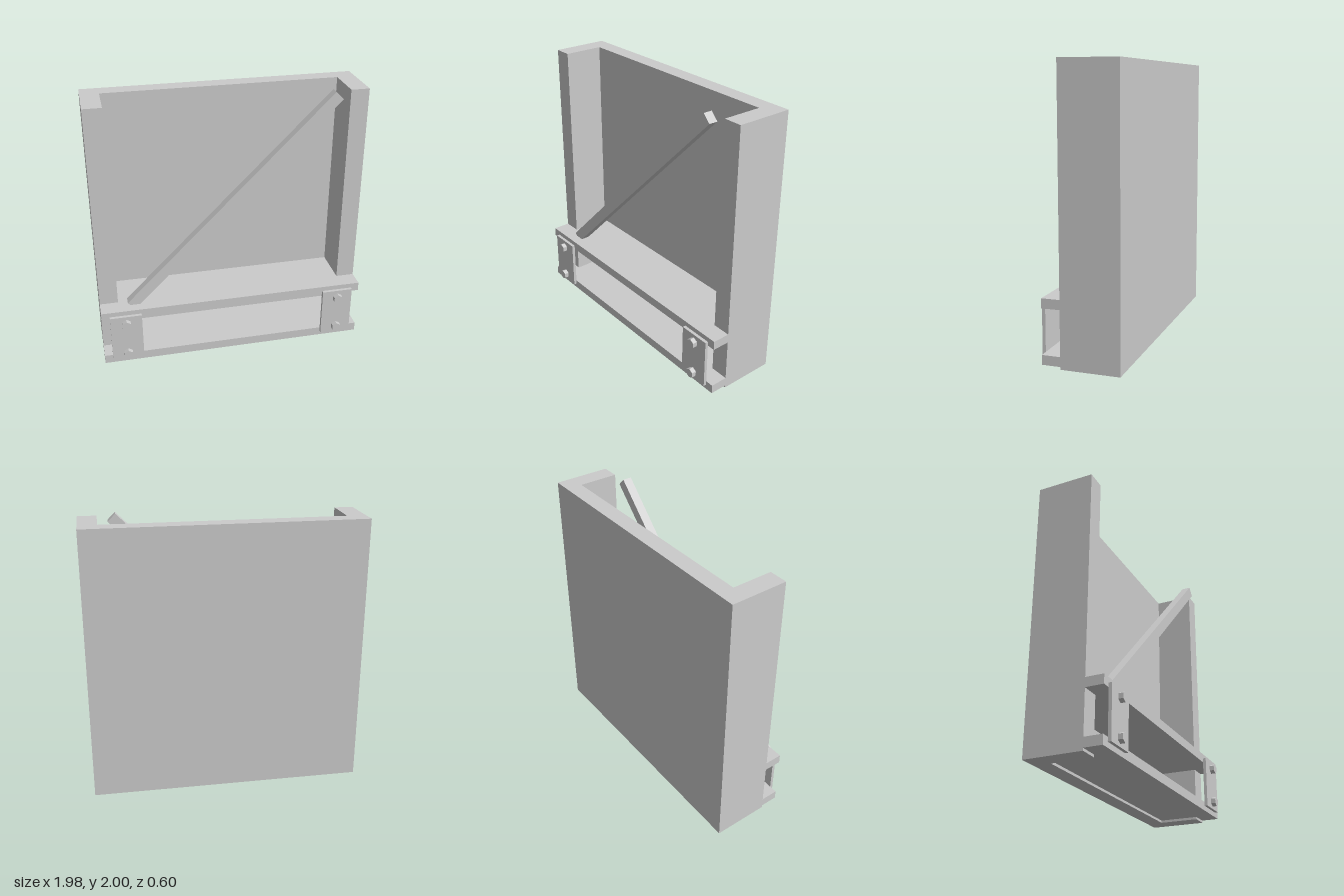
import * as THREE from 'three';

const W = 0.992;      // half width of the case
const IN = 0.857;     // half width of the recess
const BACK = -0.30, RECESS = -0.18, WALL = 0.113, LIP = 0.242;

const material = new THREE.MeshStandardMaterial({ color: 0xcccccc, flatShading: true });

function add(parent, name, geometry, x = 0, y = 0, z = 0) {
  const mesh = new THREE.Mesh(geometry, material);
  mesh.name = name;
  mesh.position.set(x, y, z);
  parent.add(mesh);
  return mesh;
}

// Extrudes a plan outline of [x, z] points upwards by height.
function plan(points, height) {
  const shape = new THREE.Shape(points.map(([x, z]) => new THREE.Vector2(x, -z)));
  return new THREE.ExtrudeGeometry(shape, { depth: height, bevelEnabled: false }).rotateX(-Math.PI / 2);
}

export function createModel() {
  const model = new THREE.Group();
  model.name = 'panelFrame';

  // U-shaped case: back panel with two side walls
  add(model, 'case', plan([
    [-W, BACK], [W, BACK], [W, WALL], [IN, WALL],
    [IN, RECESS], [-IN, RECESS], [-IN, WALL], [-W, WALL],
  ], 1.99));

  // T-shaped shelves that fill the recess and lap over the wall fronts
  const shelf = plan([
    [-IN, RECESS], [IN, RECESS], [IN, WALL], [W, WALL],
    [W, LIP], [-W, LIP], [-W, WALL], [-IN, WALL],
  ], 0.067);
  add(model, 'lowerShelf', shelf, 0, 0.018, 0);
  add(model, 'upperShelf', shelf, 0, 0.398, 0);

  // Diagonal brace standing on the upper shelf
  const brace = add(model, 'diagonalBrace', new THREE.BoxGeometry(2.145, 0.078, 0.066), -0.002, 1.215, 0.135);
  brace.rotation.z = Math.PI / 4;

  // Bolted plates joining the shelf fronts
  const plate = new THREE.BoxGeometry(0.234, 0.374, 0.023);
  const bolt = new THREE.CylinderGeometry(0.036, 0.036, 0.034, 6).rotateX(Math.PI / 2);
  for (const side of [-1, 1]) {
    const joint = new THREE.Group();
    joint.name = side < 0 ? 'rightJoint' : 'leftJoint';
    joint.position.x = side * 0.815;
    add(joint, 'plate', plate, 0, 0.242, LIP + 0.0115);
    for (const y of [0.11, 0.37]) add(joint, 'bolt', bolt, 0, y, 0.282);
    model.add(joint);
  }
  return model;
}
